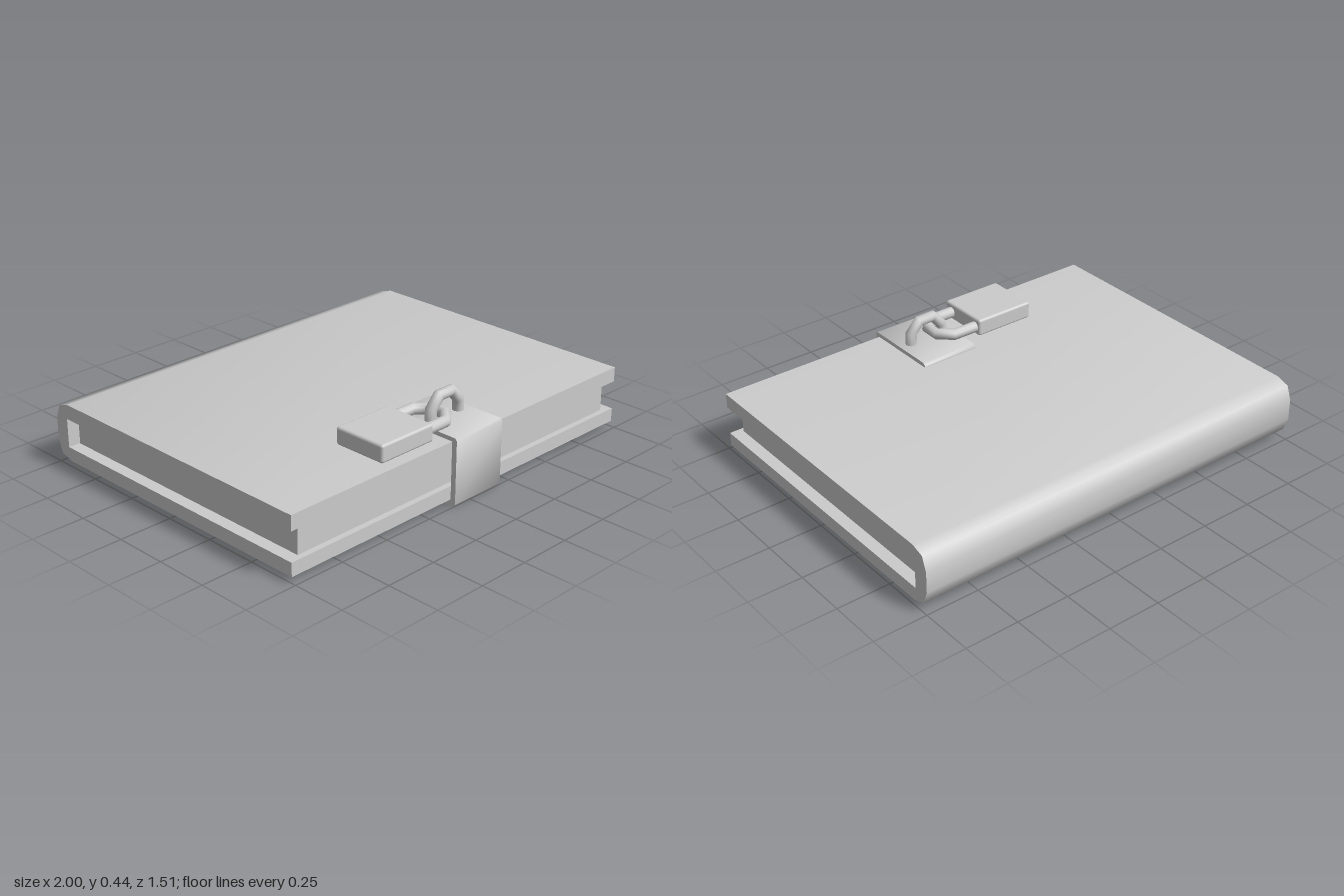
import * as THREE from 'three';
import { toCreasedNormals } from 'three/addons/utils/BufferGeometryUtils.js';
import { RoundedBoxGeometry } from 'three/addons/geometries/RoundedBoxGeometry.js';

const material = new THREE.MeshStandardMaterial({ color: 0xcccccc });

function part(name, geometry, x = 0, y = 0, z = 0) {
  const mesh = new THREE.Mesh(geometry, material);
  mesh.name = name;
  mesh.position.set(x, y, z);
  return mesh;
}

// Side profile of [z, y] points, extruded along x and centred
function sideExtrude(points, width) {
  const shape = new THREE.Shape(points.map(([z, y]) => new THREE.Vector2(z, y)));
  const geometry = new THREE.ExtrudeGeometry(shape, { depth: width, bevelEnabled: false });
  geometry.translate(0, 0, -width / 2).rotateY(-Math.PI / 2);
  return toCreasedNormals(geometry, 1.05);
}

// Curve that visits each corner exactly, with mitred tangents
class CornerPath extends THREE.Curve {
  constructor(points) {
    super();
    this.points = points.map((p) => new THREE.Vector3(...p));
  }
  index(u) {
    return Math.round(u * (this.points.length - 1));
  }
  getPointAt(u, target = new THREE.Vector3()) {
    return target.copy(this.points[this.index(u)]);
  }
  getTangentAt(u, target = new THREE.Vector3()) {
    const p = this.points, i = this.index(u);
    target.set(0, 0, 0);
    if (i > 0) target.add(p[i].clone().sub(p[i - 1]).normalize());
    if (i < p.length - 1) target.add(p[i + 1].clone().sub(p[i]).normalize());
    return target.normalize();
  }
}

function bentRod(points, radius) {
  return new THREE.TubeGeometry(new CornerPath(points), points.length - 1, radius, 12);
}

export function createModel() {
  const model = new THREE.Group();
  model.name = 'lockedBook';

  // Wrap-around cover with a rounded spine at the back
  model.add(part('cover', sideExtrude([
    [0.73, 0.027], [0.73, 0.09], [-0.68, 0.09], [-0.68, 0.224], [0.73, 0.224], [0.73, 0.293],
    [-0.67, 0.293], [-0.73, 0.274], [-0.754, 0.21], [-0.754, 0.11], [-0.73, 0.046], [-0.67, 0.027],
  ], 2)));

  // Page block, set back from the cover edges
  model.add(part('pages', new THREE.BoxGeometry(1.89, 0.131, 1.38), 0, 0.157, 0.015));

  // Clasp strap hooking over the front edge
  model.add(part('claspStrap', sideExtrude([
    [0.64, 0.027], [0.64, 0.012], [0.652, 0], [0.745, 0], [0.755, 0.01], [0.755, 0.302],
    [0.745, 0.312], [0.385, 0.312], [0.37, 0.302], [0.37, 0.292], [0.73, 0.292], [0.73, 0.027],
  ], 0.285), 0.0425));

  // Upright staple on the strap
  model.add(part('staple', bentRod([
    [-0.045, 0.3, 0], [-0.045, 0.362, 0], [0.003, 0.414, 0],
    [0.077, 0.414, 0], [0.125, 0.362, 0], [0.125, 0.3, 0],
  ], 0.026), 0, 0, 0.56));

  // Padlock lying flat on the cover
  const padlock = new THREE.Group();
  padlock.name = 'padlock';
  padlock.position.set(0, 0.343, 0.56);
  padlock.add(part('lockBody', new RoundedBoxGeometry(0.3, 0.082, 0.26, 2, 0.012), -0.32));
  padlock.add(part('shackle', bentRod([
    [-0.2, 0, -0.09], [-0.052, 0, -0.09], [0.008, 0, -0.036],
    [0.008, 0, 0.036], [-0.052, 0, 0.09], [-0.2, 0, 0.09],
  ], 0.026), 0, -0.003, -0.005));
  model.add(padlock);

  return model;
}
